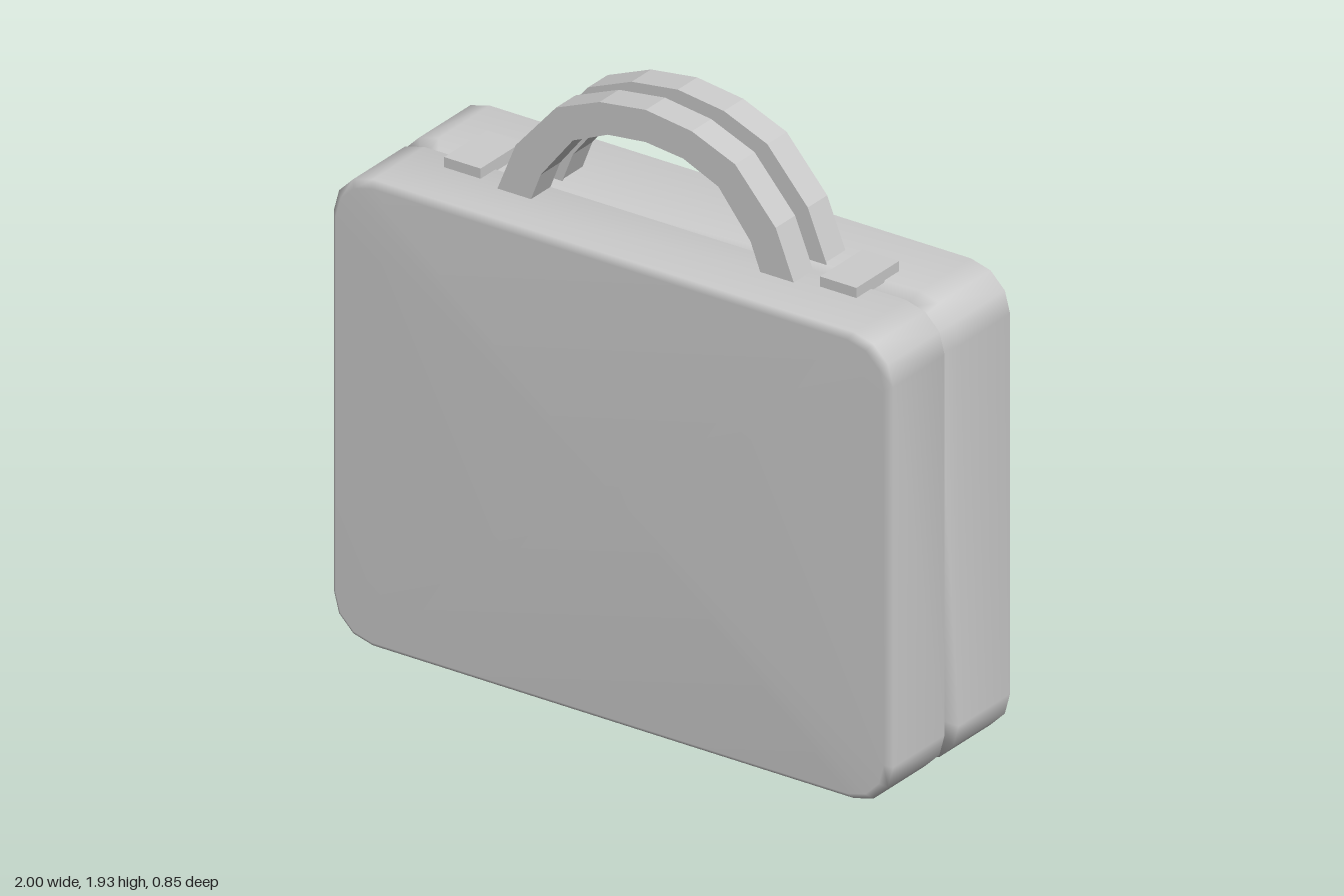
import * as THREE from 'three';

const material = new THREE.MeshStandardMaterial({ color: 0xcccccc });

function add(parent, name, geometry, x = 0, y = 0, z = 0) {
  const mesh = new THREE.Mesh(geometry, material);
  mesh.name = name;
  mesh.position.set(x, y, z);
  parent.add(mesh);
  return mesh;
}

// Skin over rings of points (counter-clockwise seen from +z, ordered back to front), with optional cap centres
function loft(rings, backCentre, frontCentre) {
  const n = rings[0].length;
  const positions = rings.flat(2);
  const index = [];
  for (let k = 0; k < rings.length - 1; k++) {
    for (let i = 0; i < n; i++) {
      const a = k * n + i, b = k * n + (i + 1) % n;
      index.push(a, b, b + n, a, b + n, a + n);
    }
  }
  const cap = (centre, start, front) => {
    const c = positions.length / 3;
    positions.push(...centre);
    for (let i = 0; i < n; i++) {
      const a = start + i, b = start + (i + 1) % n;
      index.push(c, ...(front ? [a, b] : [b, a]));
    }
  };
  if (backCentre) cap(backCentre, 0, false);
  if (frontCentre) cap(frontCentre, (rings.length - 1) * n, true);
  const g = new THREE.BufferGeometry();
  g.setAttribute('position', new THREE.Float32BufferAttribute(positions, 3));
  g.setIndex(index);
  g.computeVertexNormals();
  return g;
}

// Rounded rectangle ring of the case, shrunk by an inset
function caseRing(z, inset) {
  const w = 1 - inset, h = 0.76 - inset, r = 0.14 - inset * 0.5, segments = 3;
  const ring = [];
  [[1, -1], [1, 1], [-1, 1], [-1, -1]].forEach(([sx, sy], corner) => {
    for (let i = 0; i <= segments; i++) {
      const t = (corner - 1 + i / segments) * Math.PI / 2;
      ring.push([sx * (w - r) + r * Math.cos(t), 0.76 + sy * (h - r) + r * Math.sin(t), z]);
    }
  });
  return ring;
}

// Two shells meeting at a V-shaped seam
function caseGeometry() {
  const sections = [[-0.21, 0.02], [-0.19, 0], [0.07, 0], [0.105, 0.048], [0.14, 0], [0.4, 0], [0.42, 0.02]];
  return loft(sections.map(([z, inset]) => caseRing(z, inset)), [0, 0.76, -0.21], [0, 0.76, 0.42]);
}

// Puffed heart: the outline shrinks towards its centre as it rises from the back
function heartGeometry() {
  const half = [[0.19, 0.46], [0.37, 0.66], [0.465, 0.81], [0.49, 0.96], [0.445, 1.12],
    [0.36, 1.22], [0.25, 1.265], [0.13, 1.235], [0.05, 1.165]];
  const outline = [[0, 0.29], ...half, [0, 1.09], ...half.map(([x, y]) => [-x, y]).reverse()];
  const cy = 0.85;
  const levels = [[0.25, 0.213], [0.54, 0.2], [0.74, 0.165], [0.89, 0.12], [1, 0], [1, -0.02]];
  const rings = levels.map(([s, depth]) => outline.map(([x, y]) => {
    const py = cy + (y - cy) * s;
    const flatten = 1 - 0.9 * Math.max(0, 0.78 - py);
    return [x * s, py, -0.21 - depth * flatten];
  }));
  return loft(rings, [0, cy, -0.427]);
}

// Faceted arched handle
function handleGeometry() {
  const outer = [[0.535, 1.5], [0.53, 1.52], [0.465, 1.68], [0.32, 1.845], [0.165, 1.908]];
  const inner = [[0.415, 1.5], [0.41, 1.52], [0.375, 1.61], [0.26, 1.755], [0.135, 1.81]];
  const arch = (side, top) => [...side, [0, top], ...side.map(([x, y]) => [-x, y]).reverse()];
  const points = [...arch(outer, 1.93), ...arch(inner, 1.825).reverse()];
  const shape = new THREE.Shape(points.map(([x, y]) => new THREE.Vector2(x, y)));
  return new THREE.ExtrudeGeometry(shape, { depth: 0.098, bevelEnabled: false });
}

export function createModel() {
  const model = new THREE.Group();
  model.name = 'carryCase';

  add(model, 'case', caseGeometry());
  add(model, 'heart', heartGeometry());

  // One handle on each shell
  const handle = handleGeometry();
  add(model, 'frontHandle', handle, 0, 0, 0.14);
  add(model, 'backHandle', handle, 0, 0, -0.022);

  // Latches bridging the seam
  const latch = new THREE.BoxGeometry(0.13, 0.04, 0.215);
  add(model, 'leftLatch', latch, 0.672, 1.533, 0.107);
  add(model, 'rightLatch', latch, -0.672, 1.533, 0.107);

  // Controls on the back
  const knob = new THREE.CylinderGeometry(0.106, 0.106, 0.09, 16).rotateX(-Math.PI / 2);
  add(model, 'knob', knob, -0.805, 1.223, -0.235);
  const button = new THREE.SphereGeometry(0.042, 10, 8);
  [0.95, 0.78].forEach((y) => add(model, 'button', button, -0.8, y, -0.22));

  return model;
}
